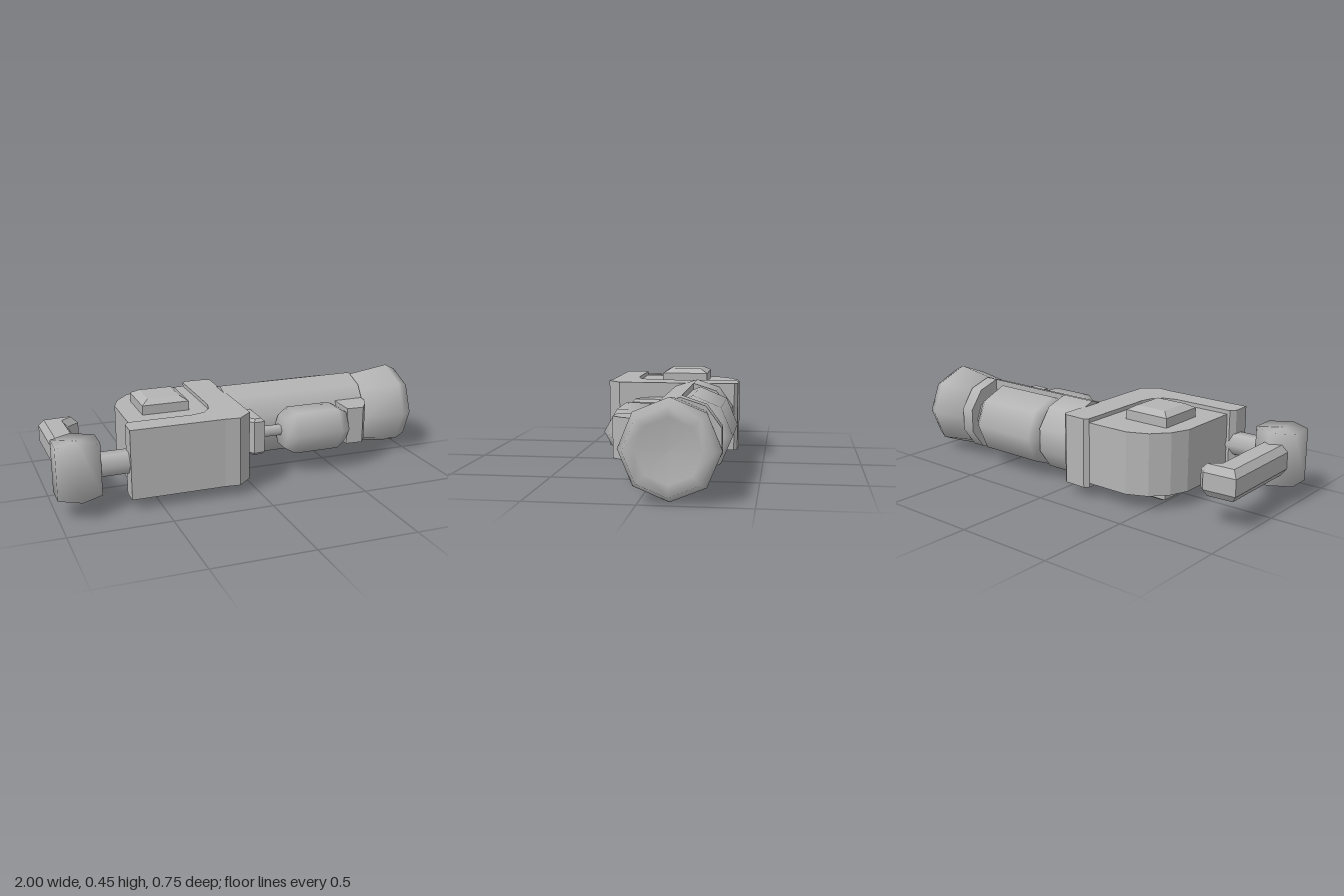
import * as THREE from 'three';

export function createModel() {
  const model = new THREE.Group();
  model.name = 'mechanism';
  const grey = new THREE.MeshStandardMaterial({ color: 0xb4b4b4 });
  grey.name = 'plain grey';

  const add = (name, geometry, x = 0, y = 0, z = 0) => {
    const mesh = new THREE.Mesh(geometry, grey);
    mesh.name = name;
    mesh.position.set(x, y, z);
    model.add(mesh);
    return mesh;
  };

  // Upright prism from an [x, z] outline, optionally bevelled at both ends
  const prism = (name, outline, y0, y1, size = 0, thick = size) => {
    const shape = new THREE.Shape(outline.map(([x, z]) => new THREE.Vector2(x, -z)));
    const geometry = new THREE.ExtrudeGeometry(shape, {
      depth: y1 - y0 - 2 * thick, bevelEnabled: size > 0, bevelSegments: 1,
      bevelSize: size, bevelThickness: thick, bevelOffset: -size,
    });
    geometry.rotateX(-Math.PI / 2);
    return add(name, geometry, 0, y0 + thick, 0);
  };

  // Smooth turned part along x from [x, radius] pairs
  const turned = (name, profile, sides, y, z) => {
    const points = profile.map(([x, r]) => new THREE.Vector2(r, x));
    return add(name, new THREE.LatheGeometry(points, sides).rotateZ(-Math.PI / 2), 0, y, z);
  };

  // Straight round part along x
  const rod = (name, x0, x1, r, sides, y, z, open = false, start = 0, sweep = Math.PI * 2) => add(name,
    new THREE.CylinderGeometry(r, r, x1 - x0, sides, 1, open, start, sweep).rotateZ(-Math.PI / 2),
    (x0 + x1) / 2, y, z);

  // Housing: L-shaped frame, inset rounded block and button through both faces
  prism('housingFrame', [
    [-0.65, 0.32], [-0.65, 0.23], [-0.63, 0.2], [-0.31, 0.2], [-0.24, 0.18], [-0.2, 0.13], [-0.185, 0.07],
    [-0.185, -0.345], [-0.165, -0.365], [-0.05, -0.362], [-0.03, -0.345],
    [-0.03, 0.26], [-0.105, 0.328], [-0.18, 0.32],
  ], 0.057, 0.407);
  prism('housingBlock', [
    [-0.615, 0.21], [-0.615, -0.13], [-0.58, -0.22], [-0.51, -0.3], [-0.41, -0.345],
    [-0.17, -0.345], [-0.17, 0.21],
  ], 0.077, 0.387);
  prism('button', [[-0.52, 0.063], [-0.52, -0.18], [-0.28, -0.18], [-0.28, 0.063]], 0.002, 0.456, 0.038, 0.022);

  // Barrel: full ends, front half shell and the wall of the rear slot
  const by = 0.23, bz = -0.152, br = 0.196;
  rod('barrelBase', -0.04, 0.15, br, 10, by, bz, false, Math.PI / 2);
  rod('barrelCollar', 0.65, 0.72, br, 10, by, bz, false, Math.PI / 2);
  rod('barrelShell', 0.15, 0.65, br, 5, by, bz, true, -Math.PI / 2, Math.PI);
  add('slotWall', new THREE.PlaneGeometry(0.5, br * 2).rotateY(Math.PI), 0.4, by, bz);

  // Rear canister in the slot
  turned('rearCanister', [
    [0.15, 0], [0.15, 0.145], [0.2, 0.185], [0.56, 0.185], [0.605, 0.15], [0.605, 0],
  ], 8, by, -0.192);
  rod('canisterNeck', 0.59, 0.655, 0.11, 8, by, -0.192);

  // End cap with a dished face
  turned('endCap', [
    [0.73, 0], [0.73, 0.195], [0.94, 0.225], [0.998, 0.195], [0.975, 0.145], [0.97, 0],
  ], 8, 0.229, -0.134);

  // Front pump with its mounts
  turned('pump', [
    [0.205, 0], [0.205, 0.09], [0.26, 0.125], [0.5, 0.125], [0.555, 0.09], [0.555, 0],
  ], 6, 0.229, 0.11);
  rod('pumpRod', 0.07, 0.22, 0.029, 6, 0.232, 0.09);
  prism('innerMount', [
    [-0.035, -0.04], [0.087, -0.04], [0.087, 0.172], [0.03, 0.175], [-0.01, 0.13], [-0.035, 0.07],
  ], 0.138, 0.332, 0.015);
  prism('outerMount', [
    [0.56, -0.04], [0.72, -0.04], [0.715, 0.05], [0.69, 0.11], [0.65, 0.165], [0.56, 0.16],
  ], 0.132, 0.326);

  // Crank: axle, hexagonal hub and hooked arm
  rod('crankAxle', -0.85, -0.6, 0.06, 6, 0.232, 0.25);
  const hub = [[0, 0.1], [0.122, 0.1], [0.122, 0.362], [0, 0.362]].map(([r, y]) => new THREE.Vector2(r, y));
  add('crankHub', new THREE.LatheGeometry(hub, 6), -0.894, 0, 0.25);
  prism('crankArm', [
    [-0.972, 0.19], [-0.98, -0.295], [-0.815, -0.306], [-0.78, -0.27], [-0.845, -0.22], [-0.835, 0.19],
  ], 0.155, 0.308, 0.025, 0.035);

  return model;
}
